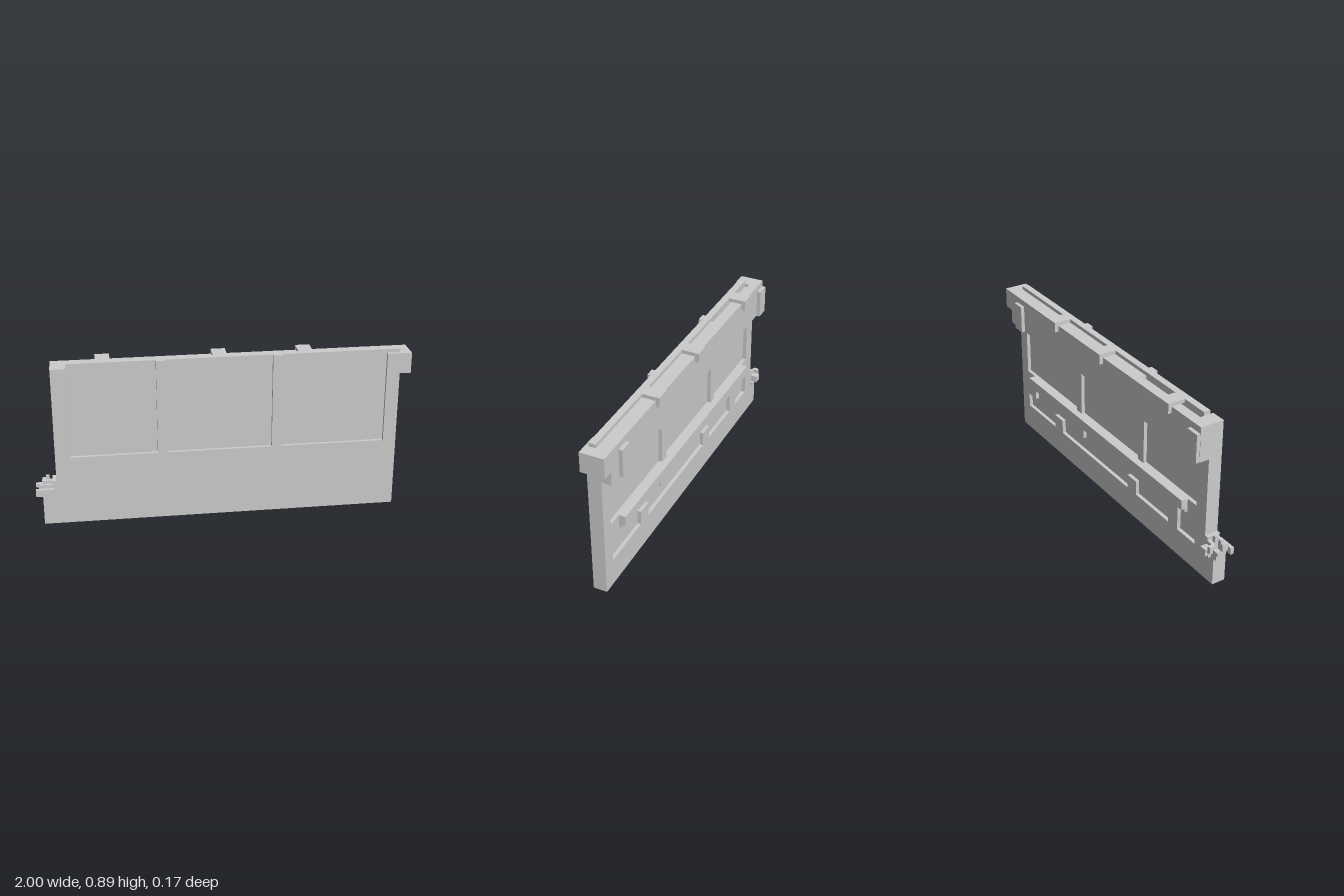
import * as THREE from 'three';

const material = new THREE.MeshStandardMaterial({ color: 0xcccccc, flatShading: true });

export function createModel() {
  const group = new THREE.Group();

  const add = (name, geometry) => {
    const mesh = new THREE.Mesh(geometry, material);
    mesh.name = name;
    group.add(mesh);
    return mesh;
  };

  // Box given by its limits on each axis
  const block = (name, x0, x1, y0, y1, z0, z1) => {
    const mesh = add(name, new THREE.BoxGeometry(x1 - x0, y1 - y0, z1 - z0));
    mesh.position.set((x0 + x1) / 2, (y0 + y1) / 2, (z0 + z1) / 2);
  };

  // Flat outline with optional holes, filled between two depths
  const toPoints = (list) => list.map(([x, y]) => new THREE.Vector2(x, y));
  const layer = (name, outline, z0, z1, holes = []) => {
    const shape = new THREE.Shape(toPoints(outline));
    holes.forEach((h) => shape.holes.push(new THREE.Path(toPoints(h))));
    const geometry = new THREE.ExtrudeGeometry(shape, { depth: z1 - z0, bevelEnabled: false });
    add(name, geometry.translate(0, 0, z0));
  };

  const windows = [[0.31, 0.87], [-0.30, 0.26], [-0.81, -0.35]];
  const sill = 0.38, top = 0.895, frameTop = 0.875, boxBottom = 0.685;
  const zFront = 0.065, zGlassFront = 0.047, zGlassBack = 0.01, zBack = -0.01, zBox = -0.065, zClip = -0.085;
  const foot = [[-0.89, 0.19], [-0.965, 0.19], [-0.965, 0], [0.94, 0]];

  // Middle sheet, which shows as the recessed panes
  layer('paneSheet', [...foot, [0.94, top], [-0.81, top], [-0.81, frameTop], [-0.89, frameTop]],
    zGlassBack, zGlassFront);

  // Front frame: posts rise between the open-topped panes
  const front = [...foot, [0.94, frameTop], [0.87, frameTop], [0.87, sill]];
  front.push([0.31, sill], [0.31, top], [0.26, top], [0.26, sill]);
  front.push([-0.30, sill], [-0.30, top], [-0.35, top], [-0.35, sill]);
  front.push([-0.81, sill], [-0.81, frameTop], [-0.89, frameTop]);
  layer('frontFrame', front, zGlassFront, zFront);

  // Back frame: same panes, plus shallow pockets low down
  const back = [...foot, [0.94, boxBottom]];
  windows.forEach(([l, r]) => back.push([r, boxBottom], [r, sill], [l, sill], [l, boxBottom]));
  back.push([-0.89, boxBottom]);
  const longPocket = [
    [-0.58, 0.15], [-0.285, 0.15], [-0.285, 0.23], [-0.205, 0.23], [-0.205, 0.15],
    [0.475, 0.15], [0.475, 0.23], [0.56, 0.23], [0.56, 0.15], [0.865, 0.15], [0.865, 0.23],
    [0.785, 0.23], [0.785, 0.305], [0.325, 0.305], [0.325, 0.23], [0.245, 0.23], [0.245, 0.305],
    [-0.58, 0.305],
  ];
  const shortPocket = [[-0.81, 0.15], [-0.66, 0.15], [-0.66, 0.305], [-0.81, 0.305]];
  layer('backFrame', back, zBack, zGlassBack, [longPocket, shortPocket]);

  // Stepped ledge under the panes at the back
  block('ledge', -0.74, 0.79, 0.325, sill, -0.047, zBack);
  block('ledgeLip', -0.74, 0.79, 0.305, 0.325, -0.028, zBack);

  // Deep top rail with a shallow trough in its upper face
  block('topRail', -0.89, 0.94, boxBottom, 0.856, zBox, zGlassBack);
  block('topRailBackEdge', -0.89, 0.94, 0.856, frameTop, zBox, -0.015);
  block('topRailRightEnd', -0.89, -0.81, 0.856, frameTop, -0.015, zGlassBack);
  block('topRailLeftPart', -0.335, 0.94, 0.856, frameTop, -0.015, zGlassBack);
  block('endTab', 0.94, 1.0, 0.763, frameTop, zBox, zFront);

  // Clips hooked over the rail
  [-0.62, -0.012, 0.44].forEach((x) => {
    block('clipTop', x - 0.038, x + 0.038, frameTop, top, zClip, zGlassBack);
    block('clipHook', x - 0.038, x + 0.038, 0.84, frameTop, zClip, zBox);
  });

  // Pads on the back of the rail
  [-0.85, 0.825].forEach((x) => block('railPad', x - 0.038, x + 0.038, boxBottom, 0.84, zClip, zBox));

  // Small cluster of blocks forming the latch at the lower corner
  block('latchCore', -0.945, -0.89, 0.19, 0.23, zBack, zFront);
  block('latchStep', -0.91, -0.89, 0.23, 0.25, zBack, zFront);
  block('latchFrontBar', -1.0, -0.905, 0.172, 0.21, 0.065, 0.085);
  block('latchFrontArm', -0.98, -0.945, 0.19, 0.23, 0.03, 0.065);
  block('latchSidePin', -1.0, -0.945, 0.19, 0.21, -0.015, 0.005);
  block('latchSidePost', -0.985, -0.965, 0.155, 0.19, -0.01, 0.01);
  block('latchTopPin', -0.945, -0.925, 0.23, 0.265, 0.01, 0.03);
  block('latchTopArm', -0.965, -0.905, 0.228, 0.247, 0.03, 0.05);
  block('latchBackKnob', -0.945, -0.905, 0.172, 0.21, -0.047, zBack);
  block('latchBackLip', -0.945, -0.89, 0.155, 0.172, -0.028, zBack);
  block('latchBackPin', -0.965, -0.945, 0.19, 0.23, -0.035, 0.0);
  return group;
}
